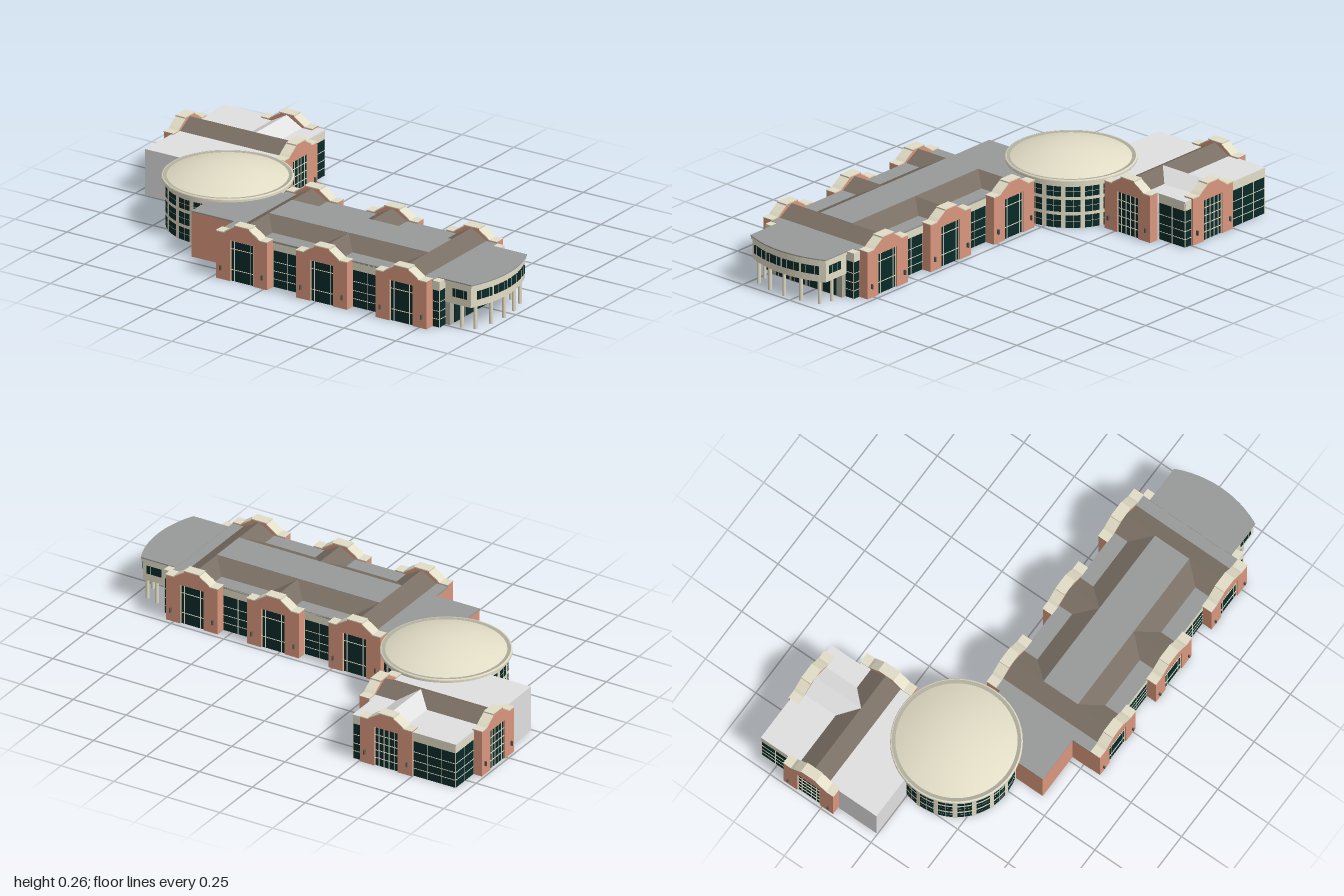
import * as THREE from 'three';

const mat = (name, color, side = THREE.FrontSide) => {
  const m = new THREE.MeshStandardMaterial({ color, side });
  m.name = name;
  return m;
};
const brick = mat('salmonBrick', 0xd9977d);
const cream = mat('creamStone', 0xe2ddc6);
const stone = mat('greyStone', 0xb0ae9e);
const glass = mat('darkGlass', 0x092a28, THREE.DoubleSide);
const roofGrey = mat('roofGrey', 0x979a98);
const lightGrey = mat('lightGrey', 0xe0e0e0);
const brown = mat('roofBrown', 0x7a6f64);
const lampDark = mat('lampMetal', 0x5a574f);

function add(parent, name, geo, material, x = 0, y = 0, z = 0) {
  const m = new THREE.Mesh(geo, material);
  m.name = name;
  m.position.set(x, y, z);
  parent.add(m);
  return m;
}

// Box given by its min and max on each axis
function block(parent, name, material, x0, x1, y0, y1, z0, z1) {
  return add(parent, name, new THREE.BoxGeometry(x1 - x0, y1 - y0, z1 - z0), material,
    (x0 + x1) / 2, (y0 + y1) / 2, (z0 + z1) / 2);
}

function extrude(points, depth) {
  const s = new THREE.Shape(points.map(p => new THREE.Vector2(p[0], p[1])));
  return new THREE.ExtrudeGeometry(s, { depth, bevelEnabled: false });
}

function place(parent, name, x, z, turn) {
  const g = new THREE.Group();
  g.name = name;
  g.position.set(x, 0, z);
  g.rotation.y = turn;
  parent.add(g);
  return g;
}

const hallBars = [-0.054, -0.038, 0.038, 0.054];
const wingBars = [-0.054, -0.036, -0.012, 0.012, 0.036, 0.054];

// Gabled brick portal, outer face at local z = 0
function portal(parent, name, x, z, turn, bars) {
  const g = place(parent, name, x, z, turn);
  const D = 0.045, W = 0.1225, ow = 0.056, oh = 0.177;
  const top = [[W, 0.203], [0.085, 0.203], [0.073, 0.213], [0.036, 0.237], [0.036, 0.243]];
  const line = [...top, ...top.map(p => [-p[0], p[1]]).reverse()];
  add(g, 'portalWall', extrude([[-W, 0], [-ow, 0], [-ow, oh], [ow, oh], [ow, 0], [W, 0], ...line], D), brick, 0, 0, -D);
  const upper = line.map(p => [p[0] * 1.02, p[1] + 0.004]).reverse();
  add(g, 'coping', extrude([...line, ...upper], D + 0.002), cream, 0, 0, -D - 0.001);
  block(g, 'portalGlass', glass, -ow, ow, 0, oh, -0.014, -0.007);
  block(g, 'innerLining', lightGrey, -W, W, 0, 0.195, -D - 0.004, -D);
  for (const mx of bars)
    block(g, 'mullion', cream, mx - 0.001, mx + 0.001, 0, oh, -0.008, -0.004);
  for (const my of bars === wingBars ? [0.035, 0.07, 0.105, 0.14, 0.175] : [0.05, 0.14, 0.175])
    block(g, 'transom', cream, -ow, ow, my - 0.001, my + 0.001, -0.008, -0.004);
  for (const s of [-1, 1])
    block(g, 'wallLamp', lampDark, s * 0.1 - 0.003, s * 0.1 + 0.003, 0.04, 0.06, -0.001, 0.009);
}

// Glazed bay with a cream header, wall plane at local z = 0
function bay(parent, name, x, z, turn, w) {
  const g = place(parent, name, x, z, turn);
  const h = w / 2;
  block(g, 'bayGlass', glass, -h, h, 0, 0.16, -0.004, 0);
  block(g, 'bayHeader', cream, -h, h, 0.16, 0.1985, -0.004, 0.003);
  for (const my of [0.035, 0.07, 0.11])
    block(g, 'transom', cream, -h, h, my - 0.001, my + 0.001, -0.001, 0.002);
  const n = Math.max(1, Math.round(w / 0.07));
  for (let i = 0; i <= n; i++) {
    const mx = -h + (w * i) / n;
    block(g, 'mullion', cream, mx - 0.001, mx + 0.001, 0, 0.16, -0.001, 0.002);
  }
}

const gable = (depth) => extrude([[-0.075, 0.199], [0.075, 0.199], [0, 0.24]], depth);

// Long hall with three portals on each side
function mainHall(root) {
  const g = place(root, 'mainHall', 0, 0, 0);
  const zF = 0.535, zB = 0.065, xs = [-0.105, 0.28, 0.663];
  block(g, 'hallRoof', roofGrey, -0.229, 0.787, 0.192, 0.2, zB - 0.003, zF + 0.003);
  block(g, 'westWall', brick, -0.229, -0.224, 0, 0.195, zB, zF);
  block(g, 'eastWall', brick, 0.781, 0.787, 0, 0.195, zB, zF);
  for (const x of xs) {
    portal(g, 'frontPortal', x, 0.58, 0, hallBars);
    portal(g, 'backPortal', x, 0.02, Math.PI, hallBars);
    add(g, 'crossGable', gable(zF - zB), brown, x, 0, zB);
  }
  for (const x of [0.0875, 0.4715]) {
    bay(g, 'frontBay', x, zF, 0, 0.14);
    bay(g, 'backBay', x, zB, Math.PI, 0.14);
  }
  const ridge = extrude([[-0.17, 0.199], [0.17, 0.199], [0.085, 0.24], [-0.085, 0.24]], xs[2] - xs[0]);
  ridge.rotateY(Math.PI / 2);
  add(g, 'longRoof', ridge, brown, xs[0], 0, 0.297);
  block(g, 'roofPlateau', roofGrey, xs[0], xs[2], 0.238, 0.2415, 0.212, 0.382);
  // Plain link beside the rotunda
  block(g, 'linkFrontWall', brick, -0.435, -0.225, 0, 0.195, 0.44, 0.445);
  block(g, 'linkWestWall', brick, -0.435, -0.43, 0, 0.195, 0.3, 0.445);
  block(g, 'linkBackWall', brick, -0.262, -0.225, 0, 0.195, 0.085, 0.09);
  block(g, 'linkRoof', roofGrey, -0.436, -0.225, 0.194, 0.2, 0.085, 0.446);
}

// Raised pavilion with a bowed end on columns
function pavilion(root) {
  const g = place(root, 'endPavilion', 0, 0.3, 0);
  const R = 0.467, cx = 0.528, half = 0.4425;
  const slab = (grow, h) => {
    const pts = [[0.785, -0.2 - grow]];
    for (let i = 0; i <= 12; i++) {
      const a = -half + (2 * half * i) / 12;
      pts.push([cx + (R + grow) * Math.cos(a), (R + grow) * Math.sin(a) * (1 + grow)]);
    }
    pts.push([0.785, 0.2 + grow]);
    return extrude(pts, h).rotateX(-Math.PI / 2);
  };
  add(g, 'upperStorey', slab(-0.005, 0.095), cream, 0, 0.1);
  add(g, 'cornice', slab(0.001, 0.012), cream, 0, 0.185);
  add(g, 'pavilionRoof', slab(0.002, 0.005), roofGrey, 0, 0.1965);
  const windowPlate = (x, z, turn, w) => {
    const p = place(g, 'pavilionWindow', x, z, turn);
    block(p, 'pane', glass, -w / 2, w / 2, 0.132, 0.167, -0.003, 0.004);
    for (const m of [-w / 4, w / 4])
      block(p, 'mullion', cream, m - 0.0008, m + 0.0008, 0.132, 0.167, 0, 0.005);
  };
  for (let i = 0; i < 4; i++) {
    const a = (i - 1.5) * 0.197;
    windowPlate(cx + (R - 0.005) * Math.cos(a), (R - 0.005) * Math.sin(a), Math.PI / 2 - a, 0.078);
  }
  windowPlate(0.892, 0.195, 0, 0.07);
  windowPlate(0.892, -0.195, Math.PI, 0.07);
  const column = (x, z) =>
    add(g, 'column', new THREE.CylinderGeometry(0.008, 0.008, 0.1, 12), cream, x, 0.05, z);
  for (let i = 0; i < 5; i++) {
    const a = (i - 2) * 0.187;
    column(cx + (R - 0.02) * Math.cos(a), (R - 0.02) * Math.sin(a));
  }
  for (const s of [-1, 1]) column(0.89, s * 0.18);
  // Recessed ground floor
  block(g, 'groundWall', stone, 0.785, 0.84, 0, 0.1, -0.19, 0.19);
  for (let i = 0; i < 4; i++) {
    const z = (i - 1.5) * 0.084;
    block(g, 'groundGlass', glass, 0.838, 0.844, 0.004, 0.098, z - 0.034, z + 0.034);
    for (const o of [-0.02, 0.02])
      block(g, 'mullion', cream, 0.84, 0.845, 0.004, 0.098, z + o - 0.0008, z + o + 0.0008);
  }
  // Glazed returns at the corners of the hall
  block(g, 'returnRoof', cream, 0.78, 0.82, 0.19, 0.199, -0.238, 0.238);
  for (const s of [-1, 1]) {
    bay(g, 'returnBay', 0.802, s * 0.235, s > 0 ? 0 : Math.PI, 0.036);
    bay(g, 'returnEnd', 0.818, s * 0.212, Math.PI / 2, 0.046);
  }
}

// Round glazed entrance hall with a shallow dome
const drumX = -0.508, drumZ = 0.07, drumR = 0.253;
function rotunda(root) {
  const g = place(root, 'rotunda', drumX, drumZ, 0);
  const ring = (name, r, y0, y1, material) =>
    add(g, name, new THREE.CylinderGeometry(r, r, y1 - y0, 60, 1, true), material, 0, (y0 + y1) / 2, 0);
  ring('glassDrum', drumR - 0.003, 0, 0.2, glass);
  for (const [a, b] of [[0.056, 0.07], [0.122, 0.136], [0.18, 0.203]]) ring('stoneBand', drumR, a, b, cream);
  for (const y of [0.03, 0.096, 0.158]) ring('transom', drumR - 0.001, y - 0.001, y + 0.001, cream);
  const n = 20, step = (Math.PI * 2) / n;
  for (let i = 0; i < n; i++) {
    const strip = (name, r, a, w) =>
      add(g, name, new THREE.CylinderGeometry(r, r, 0.19, 2, 1, true, a - w / 2, w), cream, 0, 0.095, 0);
    const a = i * step - 0.03;
    strip('pier', drumR, a, 0.075);
    strip('mullion', drumR - 0.001, a + step / 2, 0.008);
  }
  const prof = (pts) => new THREE.LatheGeometry(pts.map(p => new THREE.Vector2(p[0], p[1])), 60);
  add(g, 'eaves', new THREE.CylinderGeometry(0.267, 0.267, 0.009, 60), cream, 0, 0.2045, 0);
  add(g, 'rim', prof([[0.267, 0.208], [0.266, 0.214], [0.261, 0.214]]), cream);
  add(g, 'gutter', prof([[0.261, 0.214], [0.246, 0.212]]), stone);
  const dome = [];
  for (let i = 0; i <= 10; i++) {
    const t = 1 - i / 10;
    dome.push([0.25 * t, 0.21 + 0.049 * (1 - t * t)]);
  }
  add(g, 'dome', prof(dome), cream);
}

// Rear wing with portals on three sides
function rearWing(root) {
  const g = place(root, 'rearWing', 0, 0, 0);
  const xW = -0.95, xE = -0.468, zB = -0.577, zS = -0.19, zc = -0.317, xc = -0.627;
  block(g, 'wingRoofDeck', lightGrey, xW - 0.003, xE + 0.003, 0.192, 0.2, zB - 0.003, zS);
  block(g, 'wingSideDeck', lightGrey, xE, -0.45, 0.192, 0.2, -0.438, zS);
  block(g, 'southWall', lightGrey, -0.58, -0.45, 0, 0.195, zS - 0.005, zS);
  // Plain block cut to the curve of the rotunda
  const pts = [[xW - 0.005, -zS], [xW - 0.005, 0.005]];
  for (let i = 0; i <= 6; i++) {
    const dz = 0.075 + (0.165 * i) / 6;
    pts.push([drumX - Math.sqrt(drumR * drumR - dz * dz), dz - drumZ]);
  }
  pts.push([-0.575, -zS]);
  add(g, 'plainBlock', extrude(pts, 0.2).rotateX(-Math.PI / 2), lightGrey);
  portal(g, 'eastPortal', -0.412, zc, Math.PI / 2, wingBars);
  portal(g, 'westPortal', -0.99, zc, -Math.PI / 2, wingBars);
  portal(g, 'rearPortal', xc, -0.587, Math.PI, wingBars);
  add(g, 'wingRoof', gable(0.505).rotateY(Math.PI / 2), brown, -0.957, 0, zc);
  add(g, 'wingCrossGable', gable(zc - zB), lightGrey, xc, 0, zB);
  const span = (a, b) => [(a + b) / 2, b - a];
  const [zs, wz] = span(zB, zc - 0.1225);
  bay(g, 'eastBay', xE, zs, Math.PI / 2, wz);
  bay(g, 'westBay', xW, zs, -Math.PI / 2, wz);
  for (const [a, b] of [[xW, xc - 0.1225], [xc + 0.1225, xE]]) {
    const [x, w] = span(a, b);
    bay(g, 'rearBay', x, zB, Math.PI, w);
  }
}

export function createModel() {
  const root = new THREE.Group();
  root.name = 'civicBuilding';
  mainHall(root);
  pavilion(root);
  rotunda(root);
  rearWing(root);
  return root;
}
